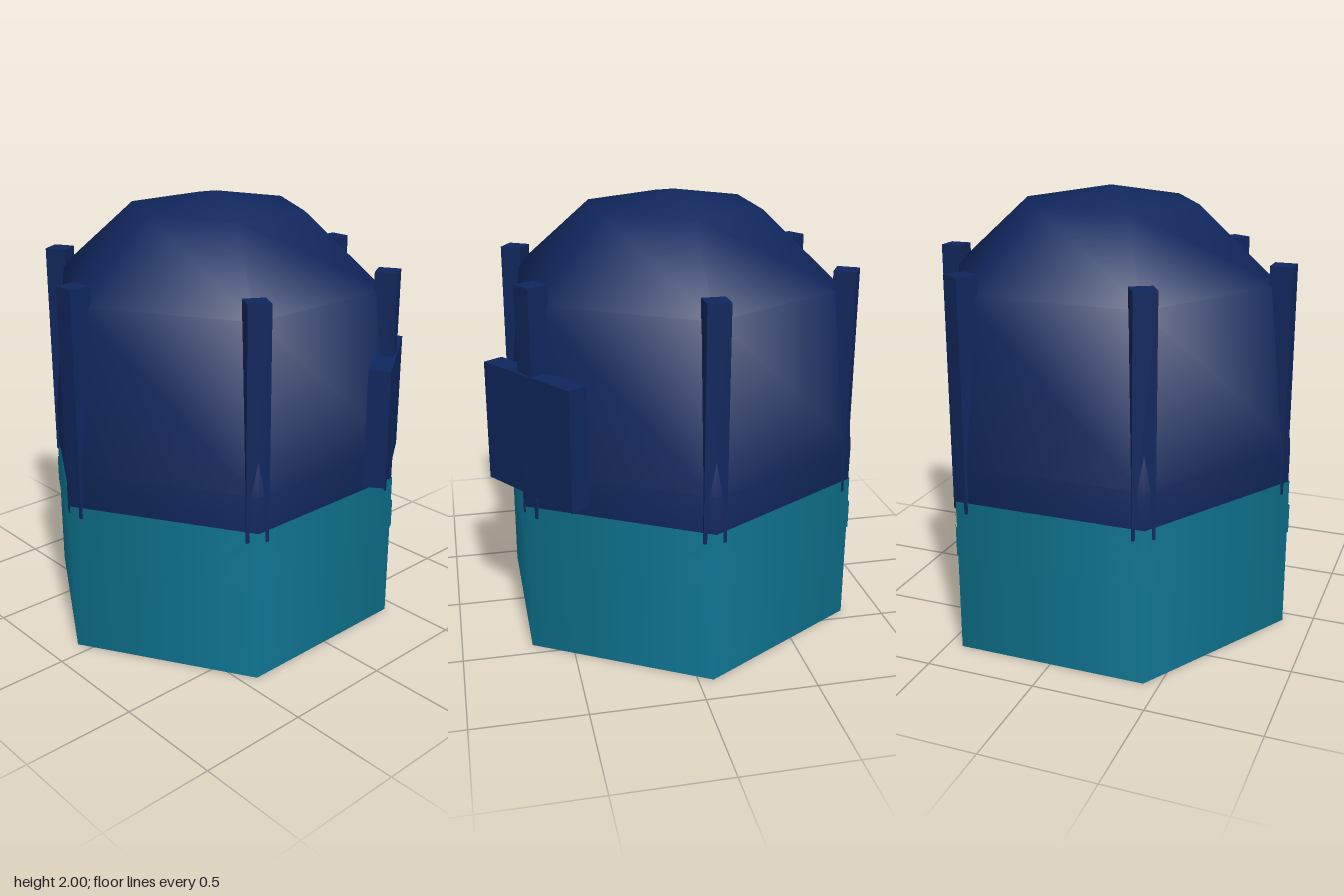
import * as THREE from 'three';

export function createModel() {
  const navy = new THREE.MeshStandardMaterial({ color: 0x10265c, side: THREE.DoubleSide });
  navy.name = 'navy';
  const teal = new THREE.MeshStandardMaterial({ color: 0x0e7490, side: THREE.DoubleSide });
  teal.name = 'teal';

  const model = new THREE.Group();
  const body = new THREE.Group();
  body.name = 'body';
  body.position.z = -0.067;
  model.add(body);

  function add(name, geometry, material, parent = body) {
    const mesh = new THREE.Mesh(geometry, material);
    mesh.name = name;
    parent.add(mesh);
    return mesh;
  }

  // Open six-sided tube, smooth shaded, with a corner on the x axis
  function hexTube(name, radius, bottom, top) {
    const tube = new THREE.CylinderGeometry(radius, radius, top - bottom, 6, 1, true, Math.PI / 2);
    add(name, tube, teal).position.y = (bottom + top) / 2;
  }
  hexTube('base', 0.865, 0, 0.705);
  hexTube('baseBand', 0.871, 0.455, 0.587);

  // Hollow six-sided dome
  const profile = [[0.86, 0.7], [0.861, 0.87], [0.785, 1.6], [0.412, 1.93], [0, 2]]
    .map(([r, y]) => new THREE.Vector2(r, y));
  add('dome', new THREE.LatheGeometry(profile, 6, Math.PI / 2), navy);

  // Square posts at the six corners
  const postGeometry = new THREE.BoxGeometry(0.1, 1.035, 0.1);
  for (let i = 0; i < 6; i++) {
    const angle = (i * Math.PI) / 3;
    const post = add('post', postGeometry, navy);
    post.position.set(0.795 * Math.cos(angle), 1.1725, -0.795 * Math.sin(angle));
    post.rotation.y = angle;
  }

  // Square panel across the front left post
  const panel = add('panel', new THREE.BoxGeometry(0.555, 0.547, 0.098), navy, model);
  panel.position.set(0.411, 1.037, 0.624);
  panel.rotation.y = 0.6;

  return model;
}
